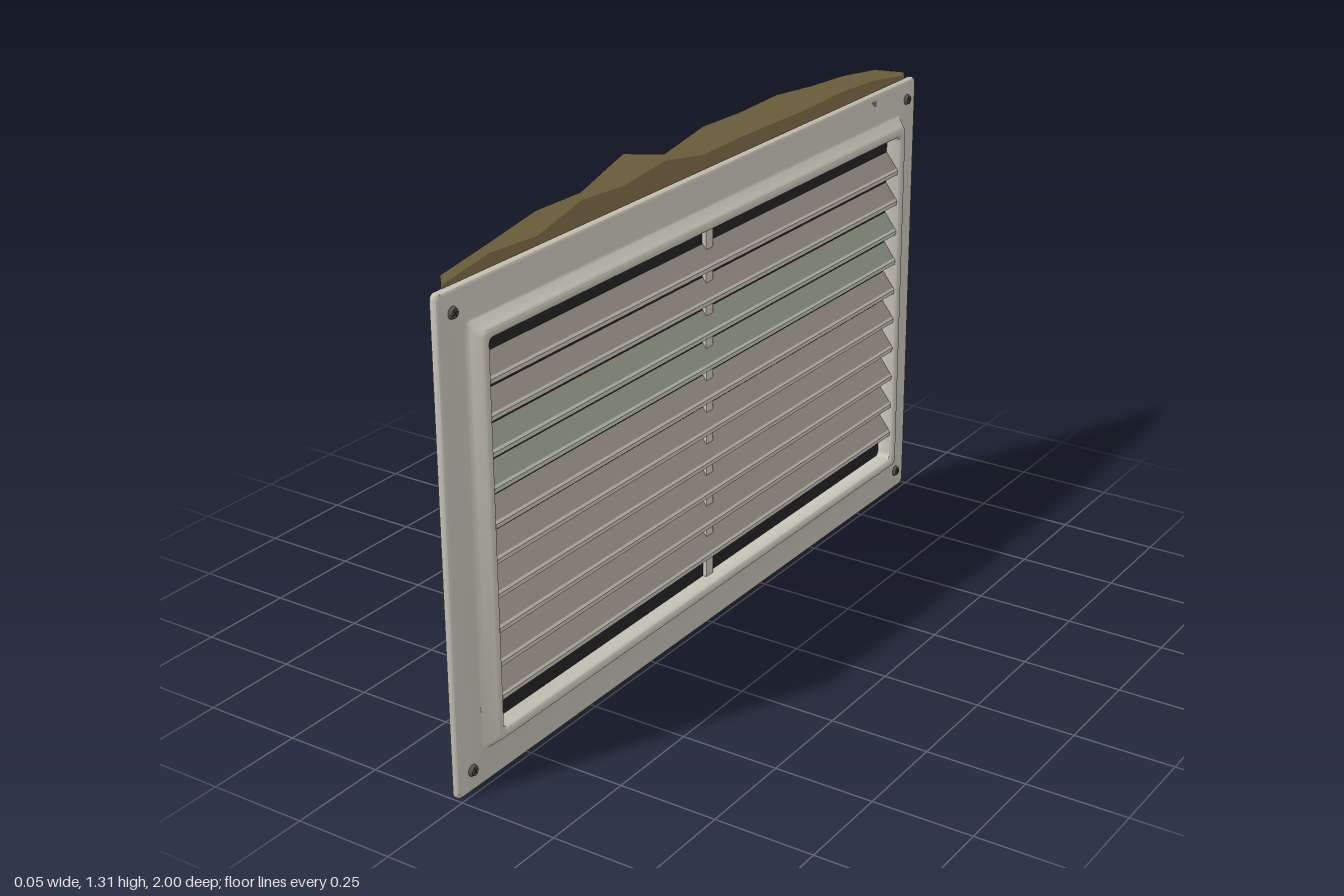
import * as THREE from 'three';
import { toCreasedNormals } from 'three/addons/utils/BufferGeometryUtils.js';

const paint = (name, color, side = THREE.FrontSide) => {
  const m = new THREE.MeshStandardMaterial({ color, side });
  m.name = name;
  return m;
};

const H = 1.187; // frame height; the frame is 2 wide along z and faces +x

// Loft of rounded rectangles: each profile point is [inset from outer edge, x]
function rectLoft(profile, radius = 0.014, seg = 4) {
  const pos = [], idx = [];
  const n = 4 * (seg + 1);
  for (const [d, x] of profile) {
    const w = 1 - d - radius, h = H / 2 - d - radius;
    [[1, -1], [1, 1], [-1, 1], [-1, -1]].forEach(([su, sy], c) => {
      for (let k = 0; k <= seg; k++) {
        const a = (c - 1 + k / seg) * Math.PI / 2;
        pos.push(x, H / 2 + sy * h + radius * Math.sin(a), -(su * w + radius * Math.cos(a)));
      }
    });
  }
  for (let i = 0; i < profile.length - 1; i++) {
    for (let j = 0; j < n; j++) {
      const a = i * n + j, b = i * n + (j + 1) % n;
      idx.push(a, b, b + n, a, b + n, a + n);
    }
  }
  const g = new THREE.BufferGeometry();
  g.setAttribute('position', new THREE.Float32BufferAttribute(pos, 3));
  g.setIndex(idx);
  return toCreasedNormals(g, 0.7);
}

// Cross-section in x, y swept along z and centred
function sweep(points, length) {
  const shape = new THREE.Shape(points.map(p => new THREE.Vector2(...p)));
  return new THREE.ExtrudeGeometry(shape, { depth: length, bevelEnabled: false })
    .translate(0, 0, -length / 2);
}

// Flat patch facing +x from [z, y] points
function patch(points) {
  const shape = new THREE.Shape(points.map(([z, y]) => new THREE.Vector2(-z, y)));
  return new THREE.ShapeGeometry(shape).rotateY(Math.PI / 2);
}

export function createModel() {
  const model = new THREE.Group();
  model.name = 'wallVent';
  const enamel = paint('off-white enamel', 0xc9c6b9, THREE.DoubleSide);
  const dusty = paint('dusty enamel', 0x9a9086);
  const mossy = paint('mossy enamel', 0x8f9784);
  const mossyLip = paint('pale mossy enamel', 0xc3cab8);
  const dark = paint('dark duct', 0x232324);
  const metal = paint('screw metal', 0x55554f);
  const chip = paint('chipped paint', 0x77736a, THREE.DoubleSide);
  const stainLight = paint('light stain', 0x9c8a58, THREE.DoubleSide);
  const stainDark = paint('dark stain', 0x7f6f48, THREE.DoubleSide);

  const add = (name, geo, mat, parent = model) => {
    const m = new THREE.Mesh(geo, mat);
    m.name = name;
    parent.add(m);
    return m;
  };

  // Pressed frame: rim, flange, raised ridge and return wall, open at the back
  add('frame', rectLoft([
    [0, -0.025], [0, -0.016], [0.003, -0.011], [0.01, -0.009], [0.082, -0.007],
    [0.088, -0.004], [0.093, 0.002], [0.104, 0.016], [0.108, 0.022], [0.113, 0.025],
    [0.121, 0.025], [0.126, 0.023], [0.13, 0.018], [0.133, -0.02],
  ]), enamel);

  // Dark panel closing the duct
  add('ductPanel', new THREE.BoxGeometry(0.003, H - 0.264, 1.736).translate(-0.0195, H / 2, 0), dark);

  // Centre bar behind the louvres
  add('centreBar', new THREE.BoxGeometry(0.011, H - 0.266, 0.03).translate(-0.0125, H / 2, 0), enamel);

  // Louvres sloping down and outward, each with a lip
  const bladeGeo = sweep([[-0.017, 0.047], [-0.018, 0.041], [0.011, 0.001], [0.014, 0.006]], 1.733);
  const lipGeo = sweep([[0.011, 0.001], [0.014, -0.011], [0.017, -0.01], [0.018, 0.001], [0.014, 0.007]], 1.733);
  for (let i = 0; i < 10; i++) {
    const louvre = new THREE.Group();
    louvre.name = 'louvre';
    louvre.position.y = 0.963 - i * 0.0837;
    const moss = i === 2 || i === 3;
    add('blade', bladeGeo, moss ? mossy : dusty, louvre);
    add('lip', lipGeo, moss ? mossyLip : enamel, louvre);
    model.add(louvre);
  }

  // Corner screws with cross slots
  const headGeo = new THREE.CylinderGeometry(0.011, 0.015, 0.009, 16).rotateZ(-Math.PI / 2);
  for (const z of [-0.95, 0.95]) {
    for (const y of [0.055, H - 0.052]) {
      const screw = new THREE.Group();
      screw.name = 'screw';
      screw.position.set(-0.0045, y, z);
      screw.rotation.x = 0.5;
      add('head', headGeo, metal, screw);
      for (const [h, w] of [[0.003, 0.016], [0.016, 0.003]]) {
        add('slot', new THREE.BoxGeometry(0.001, h, w).translate(0.0045, 0, 0), dark, screw);
      }
      model.add(screw);
    }
  }

  // Paint chips on the flange
  add('paintChip', patch([[-0.76, 1.17], [-0.787, 1.17], [-0.787, 1.153], [-0.774, 1.157]]), chip).position.x = -0.0075;
  add('paintChip', patch([[0.918, 0.2], [0.912, 0.198], [0.913, 0.183], [0.918, 0.186]]), chip).position.x = -0.0055;

  // Wall stain rising above the frame, in two flat layers
  const outline = heights => {
    const top = heights.map((y, i) => [0.963 - i * 1.926 / (heights.length - 1), y]);
    return patch([[0.963, 1.185], [-0.963, 1.185], ...top.reverse()]);
  };
  add('stainOuter', outline([1.217, 1.24, 1.265, 1.262, 1.308, 1.266, 1.292, 1.288, 1.292, 1.277, 1.267, 1.247, 1.204]),
    stainLight).position.x = -0.025;
  add('stainInner', outline([1.195, 1.218, 1.208, 1.244, 1.234, 1.25, 1.224, 1.226, 1.224, 1.222, 1.226, 1.218, 1.195]),
    stainDark).position.x = -0.0235;

  return model;
}
